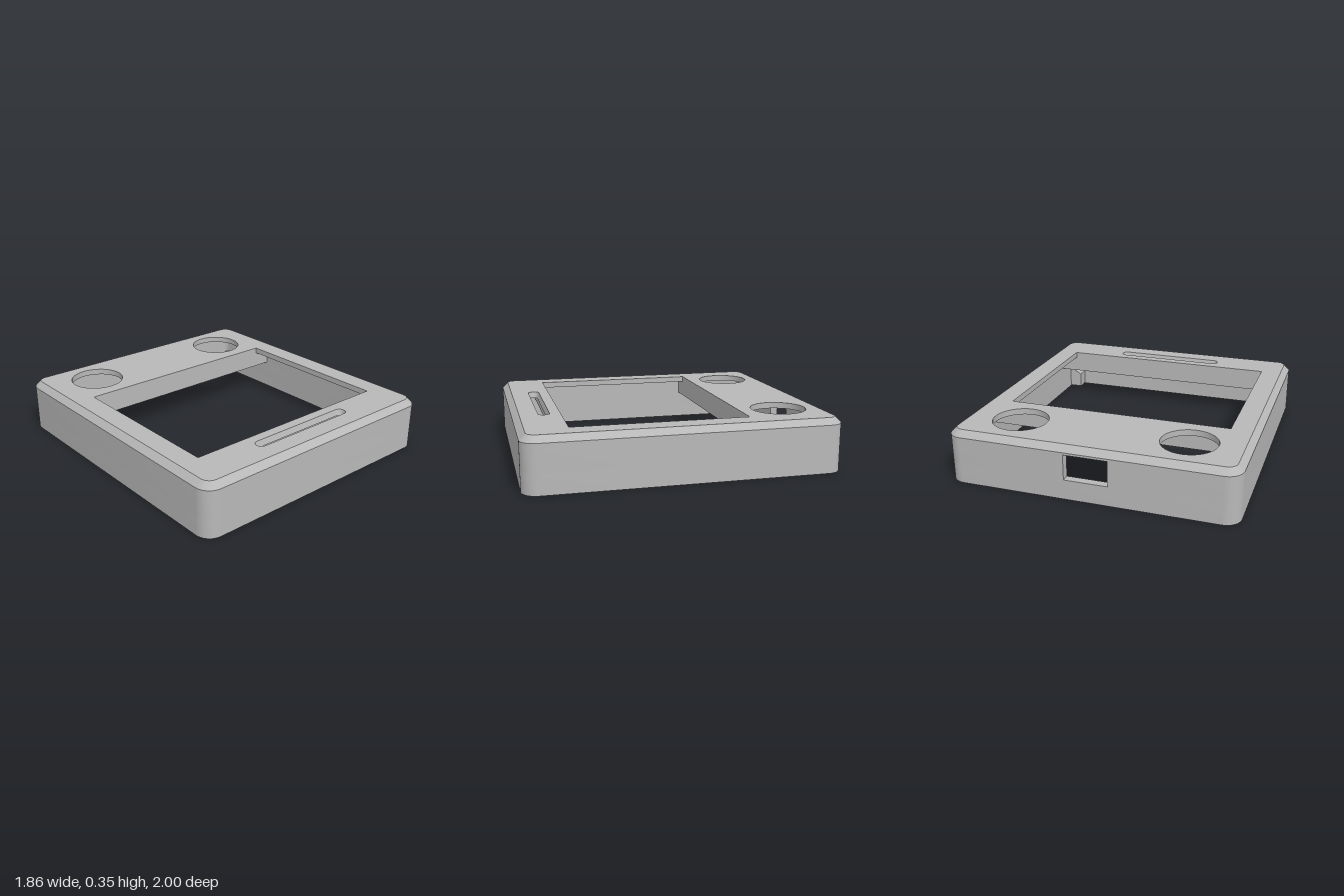
import * as THREE from 'three';
import { toCreasedNormals } from 'three/addons/utils/BufferGeometryUtils.js';

const HX = 0.93, HZ = 1, R = 0.1;        // outer half sizes and corner radius
const WALL = 0.055, CHAMFER = 0.04;
const RIM = 0.31, TOP = 0.35;            // chamfer start and top face heights
const V = (x, y) => new THREE.Vector2(x, y);

// Rounded rectangle, anticlockwise from the back corner on -x (shape y = -z)
function loop(hx, hz, r, n = 10) {
  const pts = [];
  [[-1, 1], [-1, -1], [1, -1], [1, 1]].forEach(([sx, sy], k) => {
    for (let i = 0; i <= n; i++) {
      const a = ((k + 1 + i / n) * Math.PI) / 2;
      pts.push(V(sx * (hx - r) + r * Math.cos(a), sy * (hz - r) + r * Math.sin(a)));
    }
  });
  return pts;
}
const moved = (pts, x, z) => pts.map((p) => V(p.x + x, p.y - z));

// Extrude a plan shape upward from y0 to y1
function slab(outline, holes, y0, y1) {
  const shape = new THREE.Shape(outline);
  shape.holes = holes.map((h) => new THREE.Path(h));
  const g = new THREE.ExtrudeGeometry(shape, { depth: y1 - y0, bevelEnabled: false });
  return g.rotateX(-Math.PI / 2).translate(0, y0, 0);
}

// Move every vertex by a rule
function bend(g, rule) {
  const p = g.attributes.position, v = new THREE.Vector3();
  for (let i = 0; i < p.count; i++) {
    rule(v.fromBufferAttribute(p, i));
    p.setXYZ(i, v.x, v.y, v.z);
  }
  return g;
}

export function createModel() {
  const model = new THREE.Group();
  model.name = 'enclosureLid';
  const grey = new THREE.MeshStandardMaterial({ color: 0xb8b8b8 });
  grey.name = 'grey plastic';
  const add = (name, g) => {
    const m = new THREE.Mesh(toCreasedNormals(g, 0.5), grey);
    m.name = name;
    model.add(m);
  };

  // Side walls in three bands; the middle one leaves the port open at the back
  const outer = loop(HX, HZ, R);
  const inner = loop(HX - WALL, HZ - WALL, R - WALL);
  const port = 0.14, portLow = 0.13, portHigh = 0.295;
  add('lowerWall', slab(outer, [inner], 0, portLow));
  add('portWall', slab([
    V(-port, HZ), ...outer, V(port, HZ),
    V(port, HZ - WALL), ...[...inner].reverse(), V(-port, HZ - WALL),
  ], [], portLow, portHigh));
  add('upperWall', slab(outer, [inner], portHigh, RIM));

  // Top plate with window, two round holes and a slot
  const slotZ = 0.805;
  const round = (x) => moved(loop(0.18, 0.18, 0.18, 14), x, -0.7);
  const plate = slab(loop(HX - CHAMFER, HZ - CHAMFER, R - CHAMFER), [
    [V(-0.75, 0.43), V(-0.75, -0.7), V(0.75, -0.7), V(0.75, 0.43)],
    round(-0.555), round(0.555),
    moved(loop(0.387, 0.037, 0.036, 6), 0, slotZ),
  ], RIM, TOP);
  add('topPlate', bend(plate, (v) => {
    if (v.y > RIM + 0.01) return;
    // Flare the outer edge into a chamfer
    const cx = THREE.MathUtils.clamp(v.x, R - HX, HX - R);
    const cz = THREE.MathUtils.clamp(v.z, R - HZ, HZ - R);
    const k = R / (R - CHAMFER);
    v.x = cx + (v.x - cx) * k;
    v.z = cz + (v.z - cz) * k;
    // Taper the slot toward its underside
    if (Math.abs(v.x) < 0.4 && Math.abs(v.z - slotZ) < 0.045) {
      v.x *= 0.967;
      v.z = slotZ + (v.z - slotZ) * 0.67;
    }
  }));

  // Stiffening ribs below the front and back window edges
  for (const [name, z] of [['backRib', -0.455], ['frontRib', 0.725]]) {
    const g = new THREE.BoxGeometry(2 * (HX - WALL) + 0.01, RIM - 0.2, 0.05);
    add(name, g.translate(0, (RIM + 0.2) / 2, z));
  }

  // Screw posts in the corners, tops sloping up to the side walls
  for (const sx of [-1, 1]) for (const sz of [-1, 1]) {
    const x = sx * 0.835, z = sz * 0.905, h = 0.05;
    const g = slab(
      moved([V(-h, -h), V(h, -h), V(h, h), V(-h, h)], x, z),
      [moved(loop(0.02, 0.02, 0.02, 4), x, z)], 0.004, 0.14);
    add('screwPost', bend(g, (v) => {
      if (v.y > 0.1) v.y += (v.x - x) * sx * 0.6;
    }));
  }
  return model;
}
